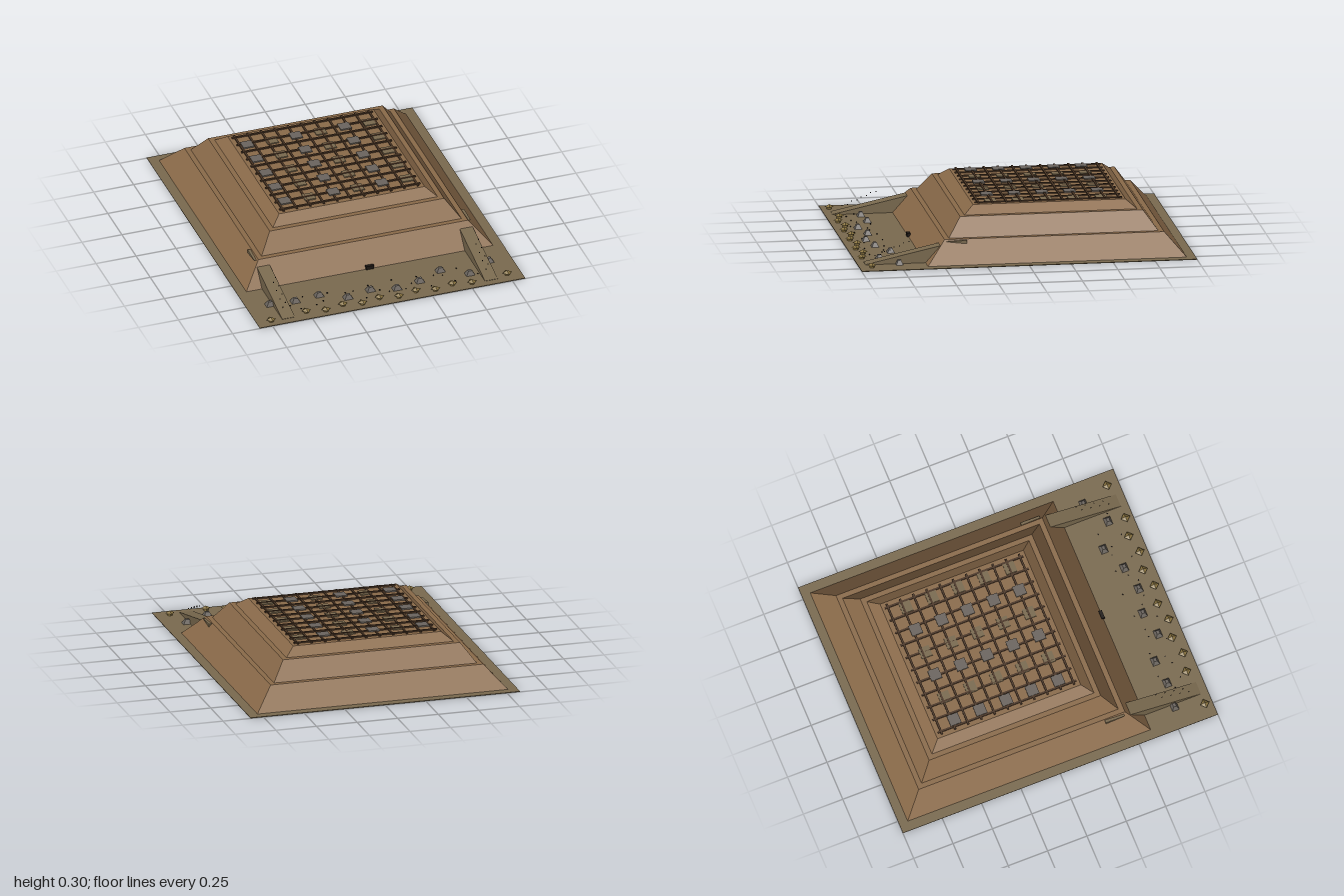
import * as THREE from 'three';

const CZ = -0.175; // centre of the mound along z

const mat = (color) => new THREE.MeshStandardMaterial({ color, flatShading: true });

export function createModel() {
  const model = new THREE.Group();
  const earth = mat(0x8b6b4a), ground = mat(0x7a6a4f), wood = mat(0x4a3524);
  const stone = mat(0x6b655f), straw = mat(0x8a7440), dark = mat(0x1c1612);

  const add = (parent, name, geometry, material, x, y, z) => {
    const mesh = new THREE.Mesh(geometry, material);
    mesh.name = name;
    mesh.position.set(x, y, z);
    parent.add(mesh);
    return mesh;
  };
  const group = (name) => {
    const g = new THREE.Group();
    g.name = name;
    model.add(g);
    return g;
  };
  const box = (w, h, d) => new THREE.BoxGeometry(w, h, d);
  // Square frustum standing on its base, given half widths
  const frustum = (bottom, top, height) =>
    new THREE.CylinderGeometry(top * Math.SQRT2, bottom * Math.SQRT2, height, 4)
      .rotateY(Math.PI / 4).translate(0, height / 2, 0);
  // Side outline in (z, y) extruded across x
  const wedge = (points, width) =>
    new THREE.ExtrudeGeometry(new THREE.Shape(points.map(([z, y]) => new THREE.Vector2(-z, y))),
      { depth: width, bevelEnabled: false }).translate(0, 0, -width / 2).rotateY(Math.PI / 2);

  add(model, 'ground', box(1.66, 0.004, 2), ground, 0, 0.002, 0);

  // Three stepped tiers
  const mound = group('mound');
  [[0.775, 0.655, 0, 0.135], [0.625, 0.545, 0.135, 0.245], [0.515, 0.455, 0.245, 0.293]]
    .forEach(([bottom, top, y0, y1], i) =>
      add(mound, `tier${i + 1}`, frustum(bottom, top, y1 - y0), earth, 0, y0, CZ));

  // Roof lattice of crossing beams
  const lattice = group('roofLattice');
  for (let i = -5; i <= 5; i++) {
    add(lattice, 'beamAlongZ', box(0.012, 0.008, 0.88), wood, i * 0.084, 0.296, CZ);
    add(lattice, 'beamAlongX', box(0.88, 0.008, 0.012), wood, 0, 0.299, CZ + i * 0.084);
  }

  // Roof panels, stone and earth in alternate columns
  const panels = group('roofPanels');
  for (let c = 0; c < 6; c++) {
    for (let r = 0; r < 5; r++) {
      add(panels, 'panel', box(0.068, 0.008, 0.068), c % 2 ? ground : stone,
        (c - 2.5) * 0.152, c % 2 ? 0.296 : 0.3, -0.495 + r * 0.165);
    }
  }

  // Ramps with marker stones floating over the slope, and ledges on the mound's sides
  for (const side of [-1, 1]) {
    const x = side * 0.634;
    const name = side > 0 ? 'left' : 'right';
    add(model, `${name}Ramp`, wedge([[0.955, 0], [0.955, 0.006], [0.5, 0.105], [0.5, 0]], 0.08), ground, x, 0, 0);
    add(model, `${name}Ledge`, wedge([[0.47, 0.126], [0.35, 0.131], [0.35, 0.11]], 0.085), ground, x, 0, 0);
    const markers = group(`${name}RampMarkers`);
    for (let i = 0; i < 8; i++) {
      add(markers, 'marker', box(0.005, 0.005, 0.005), dark,
        x + (i % 2 ? 0.012 : -0.012), 0.045 + i * 0.012, 0.89 - i * 0.0285);
    }
  }

  add(model, 'doorway', box(0.05, 0.024, 0.02), dark, 0, 0.014, 0.595);

  // Grey tents: oblong base with a narrow ridge
  const tents = group('tents');
  const tentZ = [0.78, 0.795, 0.78, 0.86, 0.825, 0.86, 0.83, 0.76, 0.85, 0.755];
  tentZ.forEach((z, i) => {
    const tent = add(tents, 'tent', frustum(0.022, 0.009, 0.028), stone, (i - 4.5) * 0.153, 0.003, z);
    tent.scale.x = 1.25;
  });

  // Row of small huts: post body with a four-sided roof, leaving gaps at the ramps
  const huts = group('huts');
  for (let i = 0; i < 14; i++) {
    if (i === 1 || i === 12) continue;
    const x = (i - 6.5) * 0.1142;
    const z = i === 0 || (i % 2 && i < 13) ? 0.952 : 0.927;
    add(huts, 'hutBody', new THREE.CylinderGeometry(0.016, 0.016, 0.015, 6), straw, x, 0.011, z);
    add(huts, 'hutRoof', new THREE.ConeGeometry(0.029, 0.015, 4), straw, x, 0.025, z);
  }

  // Small pebbles scattered between the tents
  const pebbles = group('pebbles');
  for (let i = 0; i < 24; i++) {
    const x = -0.58 + i * 0.0505;
    add(pebbles, 'pebble', box(0.006, 0.006, 0.006), dark, x, 0.006, 0.83 + 0.07 * Math.sin(i * 2.3));
  }

  return model;
}
